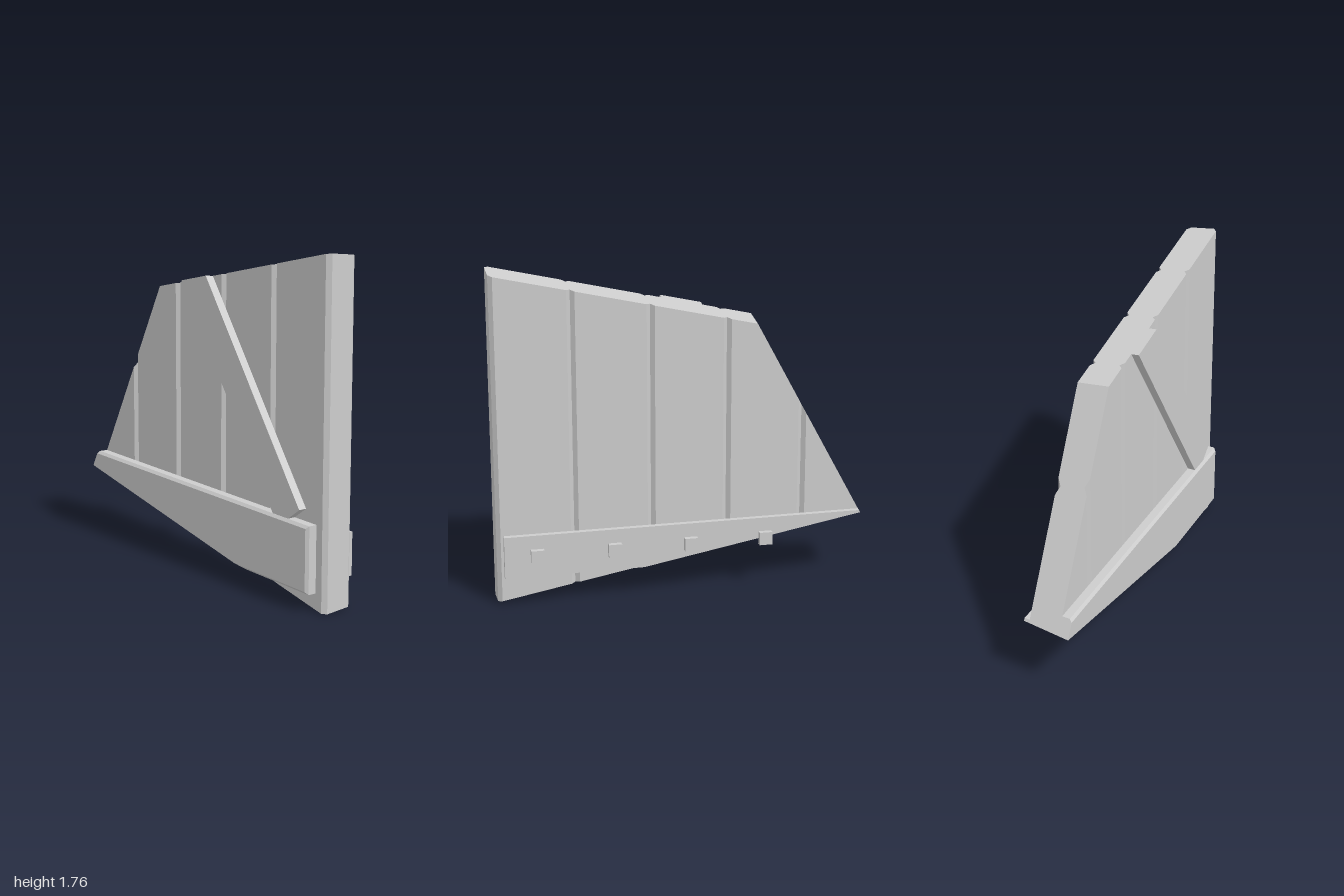
import * as THREE from 'three';

const V = (x, y, z) => new THREE.Vector3(x, y, z);
// A cut keeps the side where normal . p <= d
const cut = (x, y, z, d) => ({ n: V(x, y, z), d });

// Slanted saw cuts shared by all the boards
const LEFT = cut(-1, 0.545, -0.104, 1 + 0.545 * 0.35 - 0.104 * 0.145);
const TOP = cut(-0.225, 1, -0.11, 1.45 + 0.225 * 0.4 - 0.11 * 0.085);
const BOTTOM = cut(-0.178, -1, -0.09, -0.35 + 0.178 - 0.09 * 0.145);
const SAW = [LEFT, TOP, BOTTOM];

// Six quads of a box, optionally turned about z
function boxFaces([x0, x1], [y0, y1], [z0, z1], angle = 0) {
  const p = [];
  for (const z of [z0, z1]) for (const y of [y0, y1]) for (const x of [x0, x1]) {
    p.push(V(x, y, z).applyAxisAngle(V(0, 0, 1), angle));
  }
  return [[0, 1, 3, 2], [4, 5, 7, 6], [0, 1, 5, 4], [2, 3, 7, 6], [0, 2, 6, 4], [1, 3, 7, 5]]
    .map((f) => f.map((i) => p[i]));
}

// Slices a convex solid with one plane and closes the opening
function slice(faces, { n, d }) {
  const rim = [];
  const addRim = (q) => { if (!rim.some((r) => r.distanceTo(q) < 1e-6)) rim.push(q); };
  const kept = [];
  for (const face of faces) {
    const out = [];
    face.forEach((a, i) => {
      const b = face[(i + 1) % face.length];
      const da = n.dot(a) - d, db = n.dot(b) - d;
      if (da <= 0) out.push(a);
      if ((da <= 0) !== (db <= 0)) {
        const q = a.clone().lerp(b, da / (da - db));
        out.push(q);
        addRim(q);
      }
    });
    if (out.length > 2) kept.push(out);
  }
  if (rim.length > 2) {
    const c = rim.reduce((s, q) => s.add(q), V(0, 0, 0)).divideScalar(rim.length);
    const u = rim[0].clone().sub(c).normalize();
    const w = n.clone().normalize().cross(u);
    const turn = (q) => Math.atan2(q.clone().sub(c).dot(w), q.clone().sub(c).dot(u));
    kept.push(rim.sort((a, b) => turn(a) - turn(b)));
  }
  return kept;
}

// Flat-shaded geometry from convex faces, all turned outward
function solid(faces, cuts = []) {
  for (const c of cuts) faces = slice(faces, c);
  const all = faces.flat();
  const centre = all.reduce((s, q) => s.add(q), V(0, 0, 0)).divideScalar(all.length);
  const points = [];
  for (const f of faces) {
    const normal = V(0, 0, 0);
    for (let i = 1; i < f.length - 1; i++) {
      normal.add(f[i].clone().sub(f[0]).cross(f[i + 1].clone().sub(f[0])));
    }
    const flip = normal.dot(f[0].clone().sub(centre)) < 0;
    for (let i = 1; i < f.length - 1; i++) {
      points.push(f[0], ...(flip ? [f[i + 1], f[i]] : [f[i], f[i + 1]]));
    }
  }
  const g = new THREE.BufferGeometry().setFromPoints(points);
  g.computeVertexNormals();
  return g;
}

export function createModel() {
  const group = new THREE.Group();
  const wood = new THREE.MeshStandardMaterial({ color: 0xcccccc });
  wood.name = 'plain grey';
  const add = (name, geometry) => {
    const mesh = new THREE.Mesh(geometry, wood);
    mesh.name = name;
    group.add(mesh);
    return mesh;
  };

  // Upright planks with chamfered edges that form the V grooves
  const h = 0.087, c = 0.021;
  const seams = [-1.1, -0.635, -0.225, 0.18, 0.59, 1];
  for (let i = 0; i < 5; i++) {
    const a = seams[i], b = seams[i + 1];
    const chamfers = [1, -1].flatMap((s) => [
      cut(1, 0, s, b + h - c), cut(-1, 0, s, -a + h - c),
    ]);
    add('plank' + (i + 1), solid(boxFaces([a, b], [-0.2, 2], [-h, h]), [...chamfers, ...SAW]));
  }

  // Bevelled front rail
  const z1 = 0.145, bevel = 0.014;
  add('frontRail', solid(boxFaces([-1.2, 0.935], [0.095, 0.442], [h, z1]), [
    cut(1, 0, 1, 0.935 + z1 - bevel),
    cut(0, 1, 1, 0.442 + z1 - bevel),
    cut(0, -1, 1, -0.095 + z1 - bevel),
    ...SAW,
  ]));

  // Diagonal brace, its lower end tucked behind the rail
  add('diagonalBrace', solid(
    boxFaces([-2, 0.0955], [0.784, 0.988], [h, 0.13], Math.atan2(-0.808, 0.589)), SAW));

  // Back rail and its square bolt heads
  add('backRail', solid(boxFaces([-1.2, 0.965], [0.155, 0.38], [-0.117, -h]), SAW));
  for (let i = 0; i < 4; i++) {
    const bolt = add('bolt' + (i + 1), new THREE.BoxGeometry(0.07, 0.07, 0.03));
    bolt.position.set(-0.43 + i * 0.408, 0.27, -0.13);
  }
  return group;
}
